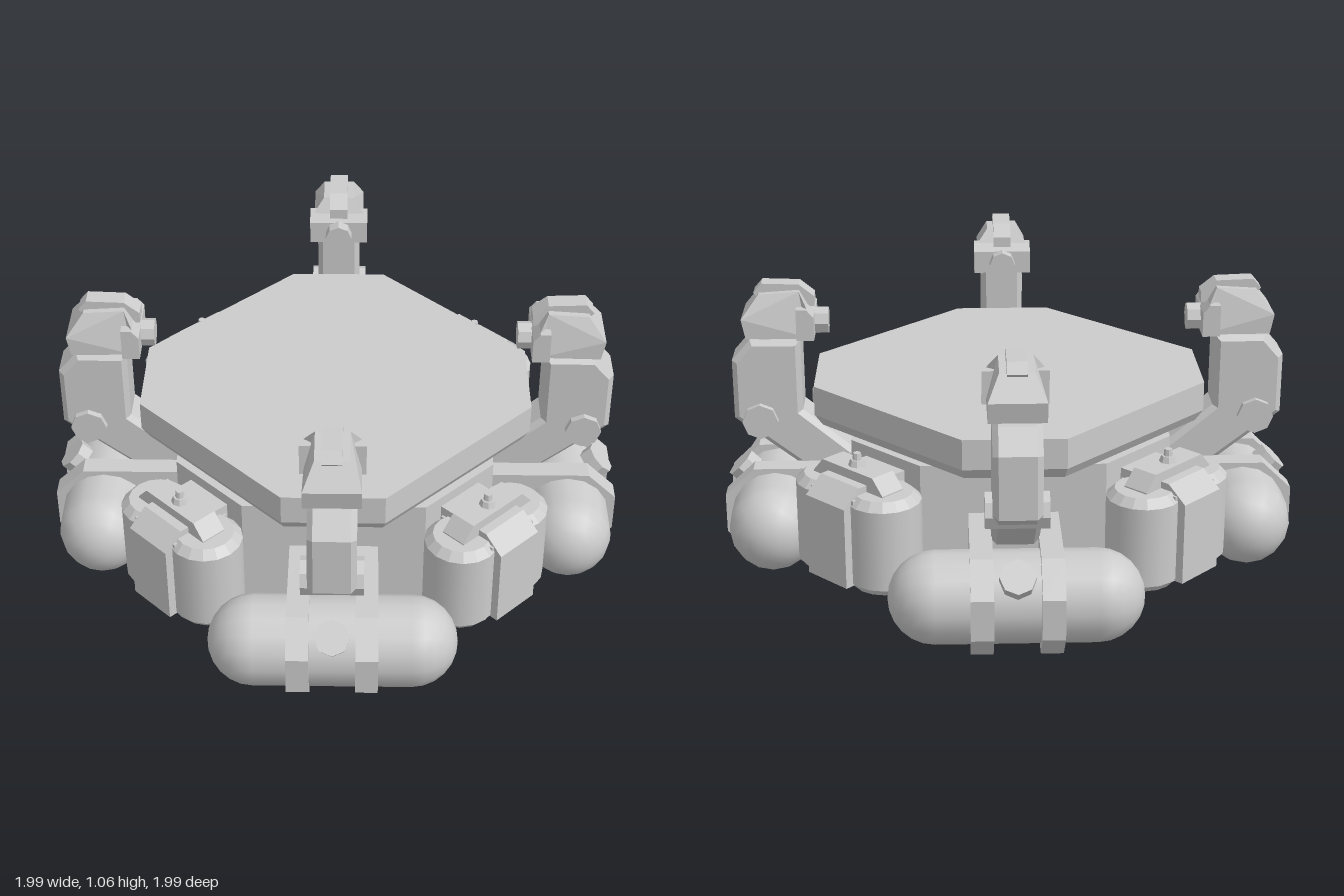
import * as THREE from 'three';

const flat = new THREE.MeshStandardMaterial({ color: 0xcccccc, flatShading: true });
const smooth = new THREE.MeshStandardMaterial({ color: 0xcccccc });

function add(parent, name, geometry, material = flat) {
  const mesh = new THREE.Mesh(geometry, material);
  mesh.name = name;
  parent.add(mesh);
  return mesh;
}

function box(parent, name, w, h, d, x, y, z = 0) {
  return add(parent, name, new THREE.BoxGeometry(w, h, d).translate(x, y, z));
}

// Side profile (radius, height) extruded across the tangent, centred on z
function profile(points, width, bevel = 0, z = 0) {
  const shape = new THREE.Shape(points.map(p => new THREE.Vector2(...p)));
  const depth = width - 2 * bevel;
  return new THREE.ExtrudeGeometry(shape, {
    depth, bevelEnabled: bevel > 0, bevelThickness: bevel, bevelSize: bevel,
    bevelOffset: -bevel, bevelSegments: 1,
  }).translate(0, 0, z - depth / 2);
}

// Irregular octagonal slab; the underside may be scaled in
function octagon(a, c, y0, y1, bottomScale = 1) {
  const pts = [[a, -c], [a, c], [c, a], [-c, a], [-a, c], [-a, -c], [-c, -a], [c, -a]];
  const geo = profile(pts, y1 - y0).rotateX(-Math.PI / 2).translate(0, (y0 + y1) / 2, 0);
  const p = geo.attributes.position;
  for (let i = 0; i < p.count; i++) {
    if (p.getY(i) < (y0 + y1) / 2) p.setXYZ(i, p.getX(i) * bottomScale, p.getY(i), p.getZ(i) * bottomScale);
  }
  geo.computeVertexNormals();
  return geo;
}

// Twin-cylinder pod on a flat side, radial direction +x
function sidePod() {
  const g = new THREE.Group();
  g.name = 'sidePod';
  const R = 0.785;
  for (const z of [-0.133, 0.133]) {
    const at = (geo, y) => geo.translate(R, y, z);
    add(g, 'podCylinder', at(new THREE.CylinderGeometry(0.135, 0.135, 0.3, 16, 1, true), 0.305), smooth);
    add(g, 'podTop', at(new THREE.CylinderGeometry(0.105, 0.135, 0.03, 16), 0.47));
    add(g, 'podBottom', at(new THREE.CylinderGeometry(0.135, 0.115, 0.025, 16), 0.1425));
  }
  box(g, 'podCore', 0.25, 0.33, 0.22, R, 0.31);
  add(g, 'podStrap', profile([[0.62, 0.145], [0.945, 0.145], [0.945, 0.45], [0.87, 0.51], [0.62, 0.51]], 0.2));
  // Trapezoid handle running along the pod
  const handle = profile([[-0.18, 0.47], [0.18, 0.47], [0.18, 0.49], [0.13, 0.545], [-0.13, 0.545], [-0.18, 0.49]], 0.1);
  add(g, 'podHandle', handle.rotateY(Math.PI / 2).translate(R, 0, 0));
  add(g, 'valveBase', new THREE.CylinderGeometry(0.025, 0.034, 0.025, 8).translate(R, 0.555, 0));
  add(g, 'valveTip', new THREE.CylinderGeometry(0.014, 0.018, 0.03, 8).translate(R, 0.577, 0));
  return g;
}

// Horizontal tank with its clamps
function tankUnit() {
  const g = new THREE.Group();
  g.name = 'tankUnit';
  add(g, 'tank', new THREE.CapsuleGeometry(0.165, 0.566, 6, 16).rotateX(Math.PI / 2).translate(0.891, 0.185, 0), smooth);
  const clamp = [[0.58, 0.14], [0.73, 0], [0.97, 0], [1.08, 0.11], [1.08, 0.26], [0.97, 0.365], [0.58, 0.365]];
  for (const z of [-0.122, 0.122]) add(g, 'tankClamp', profile(clamp, 0.08, 0, z));
  // Angled plug between the clamps
  add(g, 'tankPlug', new THREE.CylinderGeometry(0.064, 0.064, 0.12, 8)
    .translate(0, 0.145, 0).rotateZ(-Math.PI / 4).translate(0.891, 0.185, 0));
  box(g, 'clampBridge', 0.2, 0.2, 0.18, 0.66, 0.25);
  return g;
}

// Bent arm carrying an inward-facing lamp head
function armUnit() {
  const g = new THREE.Group();
  g.name = 'armUnit';
  add(g, 'arm', profile([[0.58, 0.3], [0.76, 0.32], [1.04, 0.54], [1.04, 0.77], [0.97, 0.85],
    [0.78, 0.85], [0.78, 0.57], [0.58, 0.4]], 0.17, 0.02));
  add(g, 'armPivot', new THREE.CylinderGeometry(0.068, 0.068, 0.22, 8).rotateX(Math.PI / 2).translate(0.94, 0.535, 0));
  box(g, 'neck', 0.15, 0.06, 0.12, 0.86, 0.86);
  // Head narrows towards the top
  const head = profile([[0.75, 0.87], [0.98, 0.865], [0.995, 0.94], [0.93, 1.025], [0.78, 1.035], [0.75, 0.98]], 0.2);
  const p = head.attributes.position;
  for (let i = 0; i < p.count; i++) if (p.getY(i) > 1) p.setZ(i, p.getZ(i) * 0.6);
  head.computeVertexNormals();
  add(g, 'lampHead', head);
  add(g, 'headCollar', profile([[0.725, 0.86], [0.79, 0.86], [0.79, 0.98], [0.75, 0.98], [0.725, 0.95]], 0.23));
  add(g, 'headFin', profile([[0.725, 0.97], [0.9, 0.97], [0.95, 1.025], [0.92, 1.06], [0.78, 1.055], [0.725, 1.01]], 0.07));
  add(g, 'lamp', new THREE.CylinderGeometry(0.052, 0.052, 0.08, 8).rotateZ(Math.PI / 2).translate(0.715, 0.905, 0));
  return g;
}

export function createModel() {
  const model = new THREE.Group();
  model.name = 'platform';
  add(model, 'body', octagon(0.65, 0.18, 0.11, 0.55));
  add(model, 'deckUnderside', octagon(0.645, 0.385, 0.55, 0.592, 0.96));
  add(model, 'deck', octagon(0.645, 0.385, 0.592, 0.705));

  // Four pods on the sides, four tanks with arms on the corners
  for (let i = 0; i < 4; i++) {
    const pod = sidePod();
    pod.rotation.y = i * Math.PI / 2;
    const corner = new THREE.Group();
    corner.name = 'corner';
    corner.add(tankUnit(), armUnit());
    corner.rotation.y = Math.PI / 4 + i * Math.PI / 2;
    model.add(pod, corner);
  }
  return model;
}
